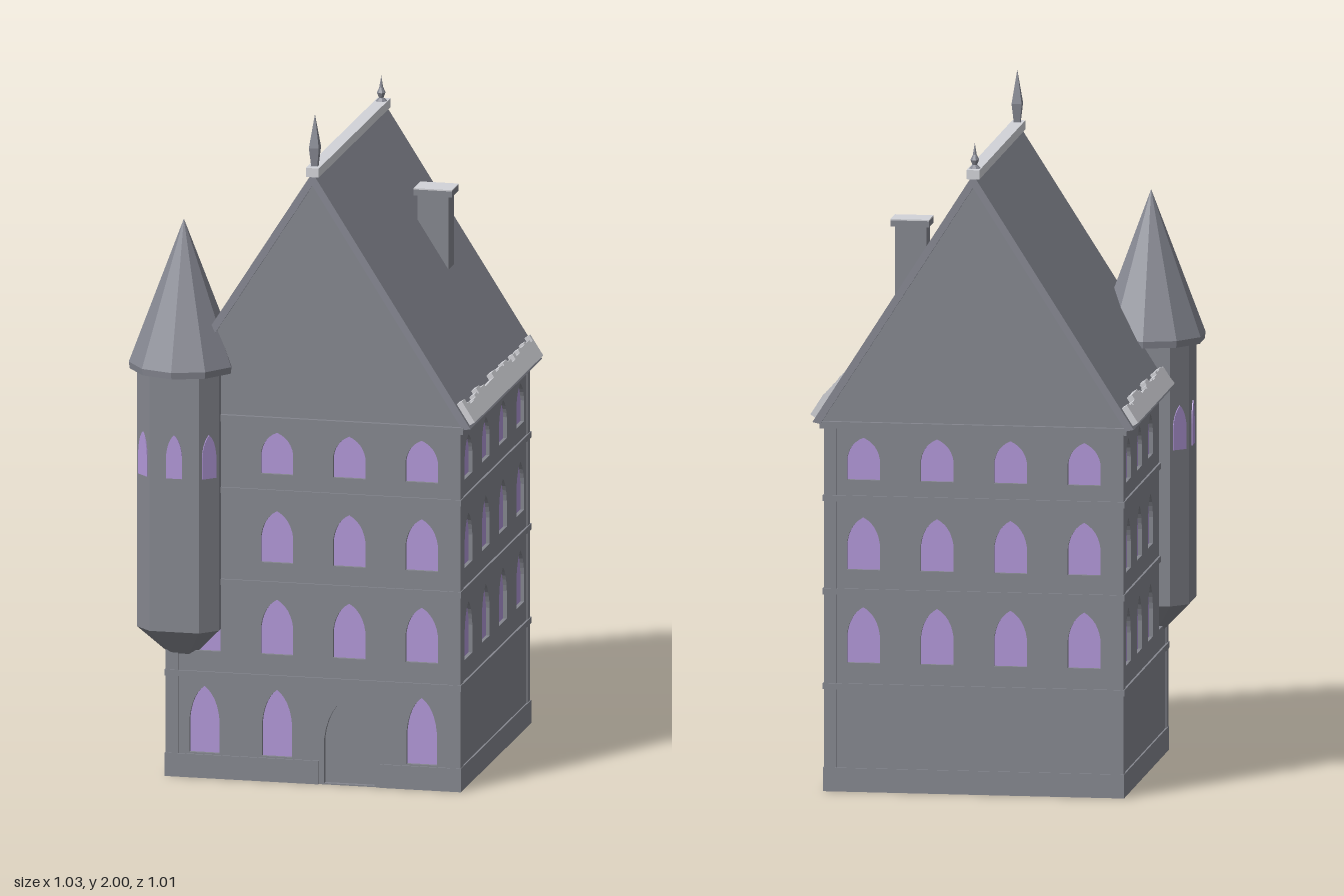
import * as THREE from 'three';

const CX = 0.033, CZ = -0.05, HALF = 0.438, TOP = 1.08, RECESS = 0.014;

export function createModel() {
  const model = new THREE.Group();
  model.name = 'townHouse';
  const mat = (name, color) => {
    const m = new THREE.MeshStandardMaterial({ color });
    m.name = name;
    return m;
  };
  const stone = mat('stone', 0x84868e);
  const slate = mat('slate', 0x868892);
  const pale = mat('pale snow', 0xd2d3d8);
  const glass = mat('lilac glass', 0xb096d6);

  const add = (parent, name, geo, material, x = 0, y = 0, z = 0) => {
    const mesh = new THREE.Mesh(geo, material);
    mesh.name = name;
    mesh.position.set(x, y, z);
    parent.add(mesh);
    return mesh;
  };
  // box given by its limits
  const box = (parent, name, material, x0, x1, y0, y1, z0, z1) =>
    add(parent, name, new THREE.BoxGeometry(x1 - x0, y1 - y0, z1 - z0), material,
      (x0 + x1) / 2, (y0 + y1) / 2, (z0 + z1) / 2);
  const extrude = (shape, depth) =>
    new THREE.ExtrudeGeometry(shape, { depth, bevelEnabled: false, curveSegments: 6 });
  const polygon = (pts) => new THREE.Shape(pts.map(([x, y]) => new THREE.Vector2(x, y)));

  // pointed arch outline
  const arch = (x, y, w, h, Type = THREE.Shape) => {
    const s = new Type(), spring = y + h * 0.5, r = w / 2;
    s.moveTo(x - r, y);
    s.lineTo(x + r, y);
    s.lineTo(x + r, spring);
    s.quadraticCurveTo(x + r * 0.85, y + h * 0.86, x, y + h);
    s.quadraticCurveTo(x - r * 0.85, y + h * 0.86, x - r, spring);
    s.lineTo(x - r, y);
    return s;
  };

  // four walls with recessed windows
  const columns = [-0.325, -0.108, 0.108, 0.325];
  const rows = [[0.38, 0.165], [0.655, 0.155], [0.92, 0.125]];
  const body = new THREE.Group();
  body.name = 'walls';
  body.position.set(CX, 0, CZ);
  model.add(body);
  const inner = HALF - RECESS;
  box(body, 'wallCore', stone, -inner, inner, 0, TOP, -inner, inner);
  ['front', 'left', 'back', 'right'].forEach((side, i) => {
    const wall = new THREE.Group();
    wall.name = side + 'Wall';
    wall.rotation.y = i * Math.PI / 2;
    body.add(wall);
    const panel = polygon([[-HALF, 0], [HALF, 0], [HALF, TOP], [-HALF, TOP]]);
    const openings = [];
    rows.forEach(([y, h]) => columns.forEach((x) => openings.push([x, y, 0.097, h])));
    if (side === 'front') {
      [0, 1, 3].forEach((c) => openings.push([columns[c], 0.075, 0.09, 0.2]));
      panel.holes.push(arch(columns[2], 0.004, 0.15, 0.265, THREE.Path)); // doorway
    }
    openings.forEach((o) => {
      panel.holes.push(arch(...o, THREE.Path));
      add(wall, 'windowPane', new THREE.ShapeGeometry(arch(...o), 6), glass, 0, 0, inner + 0.003);
    });
    add(wall, 'wallFace', extrude(panel, RECESS), stone, 0, 0, inner);
    // plinth, open at the door
    const spans = side === 'front' ? [[-0.443, 0.017], [0.2, 0.443]] : [[-0.443, 0.443]];
    spans.forEach(([a, b]) => box(wall, 'plinth', stone, a, b, 0, 0.07, inner, 0.443));
    // floor bands
    [0.31, 0.59, 0.865].forEach((y) =>
      box(wall, 'floorBand', stone, -0.444, 0.444, y - 0.009, y + 0.009, inner, 0.444));
    // corner strips
    [-1, 1].forEach((s) => {
      const a = s * HALF, b = s * (HALF - 0.035);
      box(wall, 'cornerStrip', stone, Math.min(a, b), Math.max(a, b), 0, TOP, inner, 0.441);
    });
  });
  box(body, 'cornice', stone, -0.452, 0.452, 1.072, 1.092, -0.452, 0.45);

  // roof: gable infill and an overhanging chevron
  const gable = extrude(polygon([[-0.45, 1.085], [0.45, 1.085], [0, 1.8]]), 0.876);
  add(model, 'gable', gable, stone, CX, 0, CZ - 0.438);
  const chevron = polygon([[0, 1.832], [-0.473, 1.09], [-0.45, 1.085],
    [0, 1.793], [0.45, 1.085], [0.473, 1.09]]);
  add(model, 'roof', extrude(chevron, 0.902), slate, CX, 0, -0.504);
  box(model, 'ridgeCap', pale, 0.014, 0.052, 1.818, 1.845, -0.505, 0.398);

  // ragged pale strips along both eaves
  let seed = 7;
  const rand = () => (seed = (seed * 16807) % 2147483647) / 2147483647;
  [0, Math.PI].forEach((turn) => {
    const side = new THREE.Group();
    side.name = 'eave';
    side.position.set(CX, 0, CZ);
    side.rotation.y = turn;
    model.add(side);
    const pts = [[0.425, 0], [-0.435, 0]].reverse();
    let u = 0.425;
    while (u > -0.435) {
      const next = Math.max(-0.435, u - 0.012 - rand() * 0.035);
      const v = 0.048 + rand() * 0.026;
      pts.push([u, v], [next, v]);
      u = next;
    }
    const strip = add(side, 'eaveSnow', extrude(polygon(pts), 0.018), pale, 0.468, 1.098, 0);
    const up = new THREE.Vector3(-0.473, 0.742, 0).normalize();
    const along = new THREE.Vector3(0, 0, -1);
    strip.quaternion.setFromRotationMatrix(
      new THREE.Matrix4().makeBasis(along, up, along.clone().cross(up)));
  });

  // chimney
  box(model, 'chimney', stone, 0.205, 0.298, 1.35, 1.64, -0.267, -0.2);
  box(model, 'chimneyCap', stone, 0.196, 0.31, 1.635, 1.653, -0.277, -0.191);
  box(model, 'chimneySnow', pale, 0.196, 0.31, 1.653, 1.657, -0.277, -0.191);

  // corner turret on a chamfered square plan
  const turret = new THREE.Group();
  turret.name = 'turret';
  turret.position.set(-0.364, 0, 0.345);
  model.add(turret);
  const A = 0.122, B = 0.074;
  const plan = [[A, -B], [A, B], [B, A], [-B, A], [-A, B], [-A, -B], [-B, -A], [B, -A]];
  // upright prism whose foot is scaled by a factor
  const prism = (y0, y1, foot) => {
    const g = extrude(polygon(plan), y1 - y0);
    const p = g.attributes.position;
    for (let i = 0; i < p.count; i++) {
      if (p.getZ(i) < 1e-6) p.setXY(i, p.getX(i) * foot, p.getY(i) * foot);
    }
    g.rotateX(-Math.PI / 2).translate(0, y0, 0);
    g.computeVertexNormals();
    return g;
  };
  add(turret, 'turretShaft', prism(0.45, 1.225, 1), stone);
  add(turret, 'turretCorbel', prism(0.36, 0.45, 0.29), stone);
  for (let i = 0; i < 8; i++) {
    const holder = new THREE.Group();
    holder.name = 'turretWindow';
    holder.rotation.y = i * Math.PI / 4;
    turret.add(holder);
    const dist = i % 2 ? (A + B) / Math.SQRT2 : A;
    add(holder, 'turretPane', extrude(arch(0, 0.91, 0.048, 0.13), 0.004), glass, 0, 0, dist - 0.001);
  }
  const flat = (g) => {
    const f = g.toNonIndexed();
    f.computeVertexNormals();
    return f;
  };
  add(turret, 'turretEave', flat(new THREE.CylinderGeometry(0.161, 0.158, 0.02, 10)), slate, 0, 1.225, 0);
  add(turret, 'turretRoof', flat(new THREE.ConeGeometry(0.161, 0.425, 10)), slate, 0, 1.4475, 0);

  // ridge finials: [radius, height] profiles
  const finial = (name, pts, sides, z) => {
    const g = new THREE.LatheGeometry(pts.map(([r, y]) => new THREE.Vector2(r, y)), sides);
    g.rotateY(Math.PI / sides);
    add(model, name, flat(g), slate, CX, 0, z);
  };
  finial('frontFinial', [[0, 1.82], [0.022, 1.82], [0.022, 1.842], [0.013, 1.846],
    [0.021, 1.9], [0, 2]], 4, 0.365);
  finial('backFinial', [[0, 1.82], [0.018, 1.825], [0.018, 1.845], [0.007, 1.855],
    [0.013, 1.87], [0.006, 1.885], [0, 1.92]], 8, -0.468);

  return model;
}
